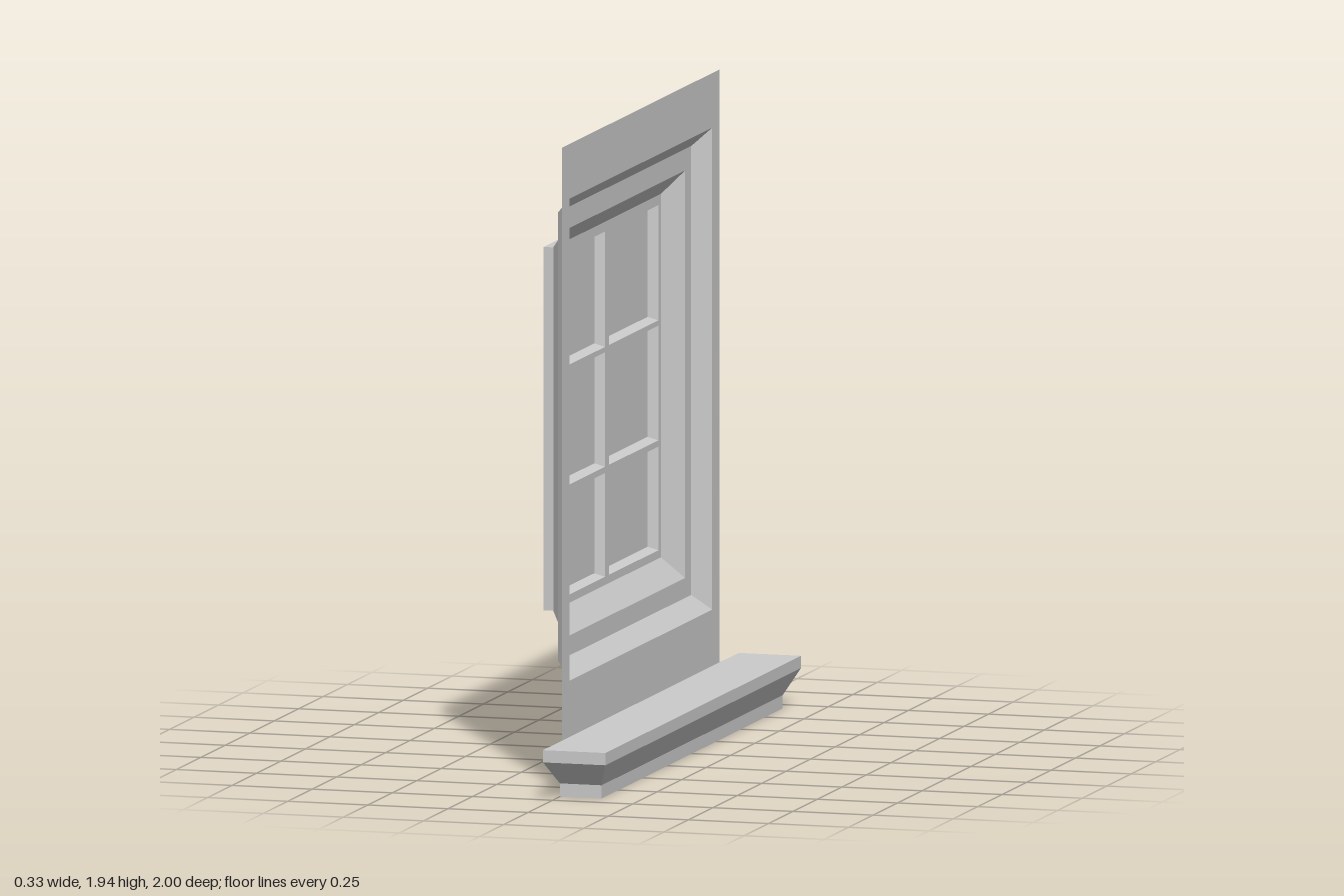
import * as THREE from 'three';

const material = new THREE.MeshStandardMaterial({ color: 0xcccccc, side: THREE.DoubleSide, flatShading: true });

// Mesh from a list of four-cornered faces
function quadMesh(name, quads) {
  const pos = [];
  for (const [a, b, c, d] of quads) pos.push(...a, ...b, ...c, ...a, ...c, ...d);
  const geo = new THREE.BufferGeometry();
  geo.setAttribute('position', new THREE.Float32BufferAttribute(pos, 3));
  geo.computeVertexNormals();
  const mesh = new THREE.Mesh(geo, material);
  mesh.name = name;
  return mesh;
}

// Corners of an upright rectangle facing +x
const rect = (x, z0, z1, y0, y1) => [[x, y0, z1], [x, y0, z0], [x, y1, z0], [x, y1, z1]];

// Quads joining consecutive corner loops
function bands(loops, closed = true) {
  const quads = [];
  for (let k = 0; k < loops.length - 1; k++) {
    const a = loops[k], b = loops[k + 1];
    const n = closed ? a.length : a.length - 1;
    for (let i = 0; i < n; i++) {
      const j = (i + 1) % a.length;
      quads.push([a[i], a[j], b[j], b[i]]);
    }
  }
  return quads;
}

function rectPath(PathType, u0, u1, v0, v1) {
  const p = new PathType();
  p.moveTo(u0, v0);
  p.lineTo(u1, v0);
  p.lineTo(u1, v1);
  p.lineTo(u0, v1);
  p.closePath();
  return p;
}

export function createModel() {
  const group = new THREE.Group();

  // Wall panel and the two mitred steps of the casing
  const casing = [
    [-0.03, 0.805, 0.15, 1.94],
    [-0.03, 0.73, 0.32, 1.775],
    [-0.08, 0.68, 0.37, 1.725],
    [-0.08, 0.617, 0.43, 1.66],
    [-0.135, 0.55, 0.5, 1.597],
  ].map(([x, hz, y0, y1]) => rect(x, -hz, hz, y0, y1));
  group.add(quadMesh('wallPanel', bands(casing.slice(0, 2))));
  group.add(quadMesh('steppedCasing', bands(casing.slice(1))));

  // Sash face with six openings
  const columns = [[-0.524, -0.021], [0.021, 0.524]];
  const rows = [[0.525, 0.838], [0.857, 1.203], [1.219, 1.567]];
  const face = rectPath(THREE.Shape, -0.55, 0.55, 0.5, 1.597);
  const reveals = [];
  for (const [z0, z1] of columns) {
    for (const [y0, y1] of rows) {
      face.holes.push(rectPath(THREE.Path, z0, z1, y0, y1));
      const b = 0.011;
      reveals.push(...bands([
        rect(-0.135, z0, z1, y0, y1),
        rect(-0.165, z0 + b, z1 - b, y0 + b, y1 - b),
      ]));
    }
  }
  const sash = new THREE.Mesh(new THREE.ShapeGeometry(face).rotateY(Math.PI / 2), material);
  sash.position.x = -0.135;
  sash.name = 'sashFace';
  group.add(sash);

  // Bevelled pane edges, glass and the outer edge of the sash
  group.add(quadMesh('paneBevels', reveals));
  const back = rect(-0.165, -0.55, 0.55, 0.5, 1.597);
  group.add(quadMesh('glass', [back]));
  group.add(quadMesh('sashEdge', bands([casing[4], back])));

  // Hollow sill: moulded front and ends, open behind and below
  const levels = [
    [0.15, 1, -0.03, 0.165],
    [0.113, 1, -0.03, 0.165],
    [0.04, 0.925, 0, 0.13],
    [0, 0.925, 0, 0.13],
  ].map(([y, z, xb, xf]) => [[xb, y, -z], [xf, y, -z], [xf, y, z], [xb, y, z]]);
  group.add(quadMesh('sillMoulding', bands(levels, false)));
  group.add(quadMesh('sillTop', [[...levels[0]].reverse()]));

  return group;
}
